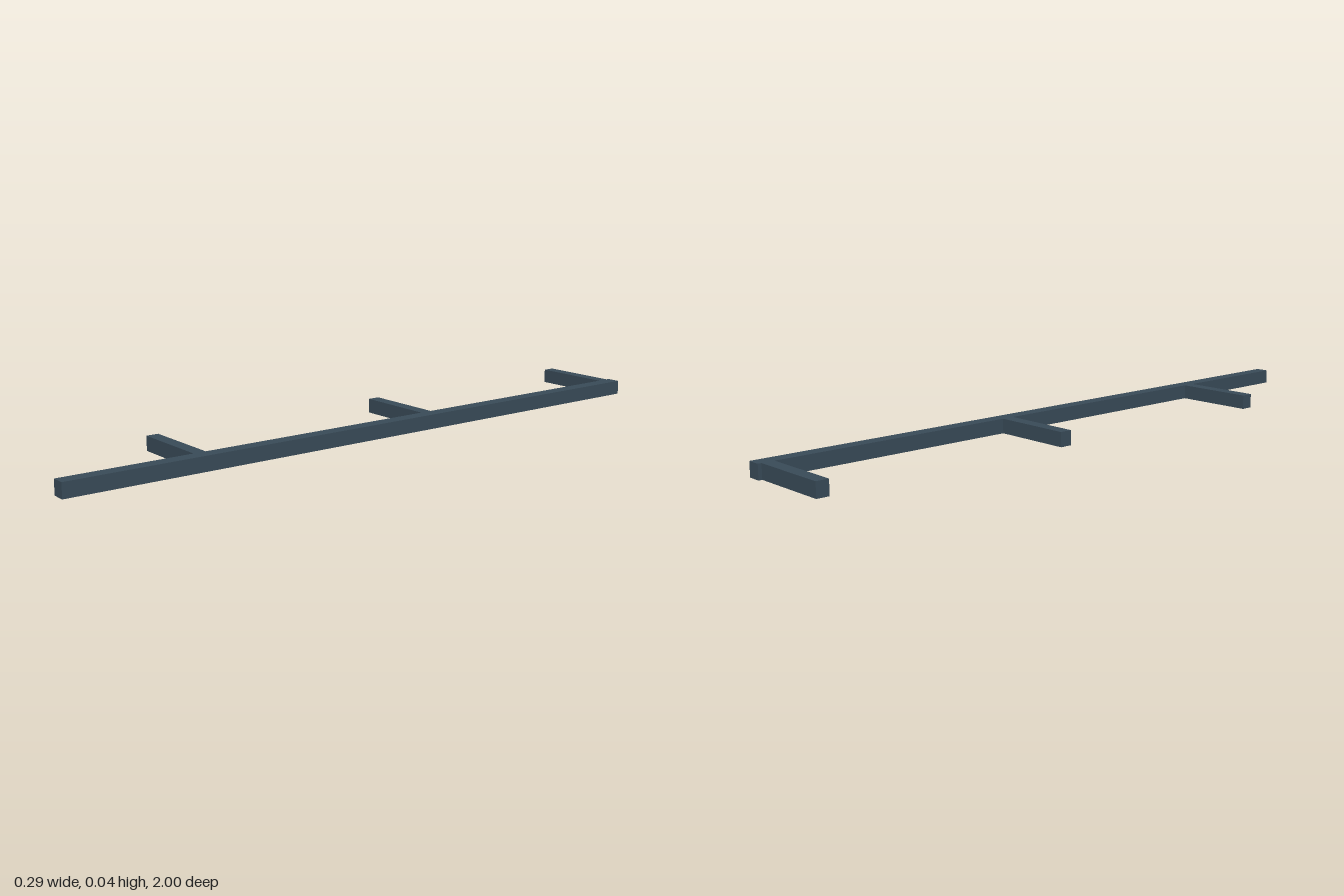
import * as THREE from 'three';

export function createModel() {
  const group = new THREE.Group();
  const material = new THREE.MeshStandardMaterial({ color: 0x384a57 });
  const height = 0.043;

  const addBar = (name, width, depth, x, z) => {
    const bar = new THREE.Mesh(new THREE.BoxGeometry(width, height, depth), material);
    bar.name = name;
    bar.position.set(x, height / 2, z);
    group.add(bar);
  };

  // Long rail running front to back
  addBar('rail', 0.041, 2, 0.1235, 0);

  // Three evenly spaced arms butting against the rail's right side
  const spacing = 0.781;
  for (let i = 0; i < 3; i++) {
    addBar(`arm${i + 1}`, 0.247, 0.037, -0.0205, -0.971 + i * spacing);
  }
  return group;
}
